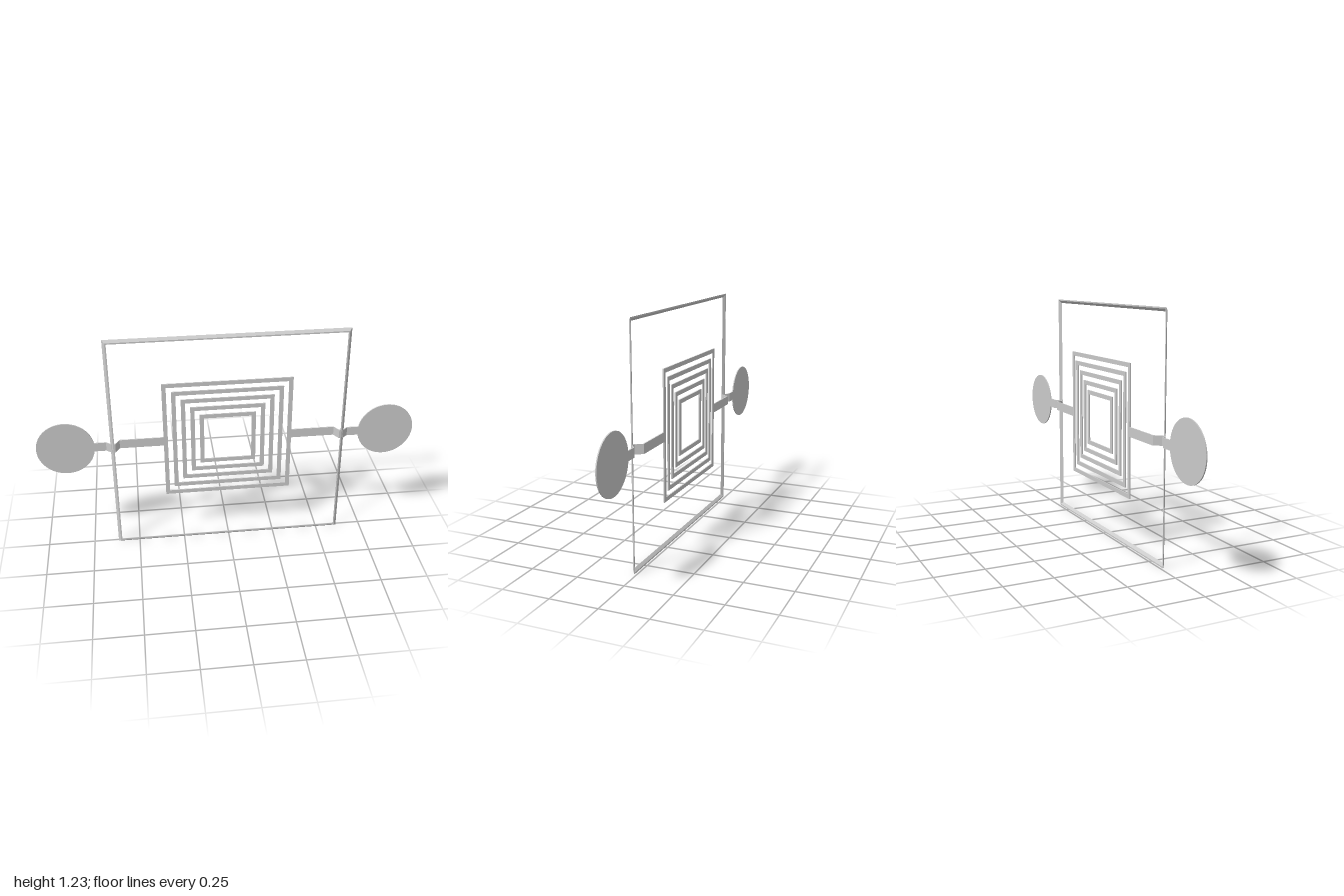
import * as THREE from 'three';

const MID = 0.6185; // height of the centre line
const material = new THREE.MeshStandardMaterial({ color: 0xcccccc, flatShading: true });

function extrude(shape, depth, z, curveSegments = 12) {
  const g = new THREE.ExtrudeGeometry(shape, { depth, bevelEnabled: false, curveSegments });
  return g.translate(0, 0, z);
}

function squarePoints(h) {
  return [[-h, -h], [h, -h], [h, h], [-h, h]].map(([x, y]) => new THREE.Vector2(x, y));
}

// Flat square ring with half-size h and bar width w
function squareRing(h, w, depth, z) {
  const shape = new THREE.Shape(squarePoints(h));
  shape.holes.push(new THREE.Path(squarePoints(h - w).reverse()));
  return extrude(shape, depth, z);
}

export function createModel() {
  const group = new THREE.Group();
  const add = (name, geometry) => {
    const mesh = new THREE.Mesh(geometry, material);
    mesh.name = name;
    mesh.position.y = MID;
    group.add(mesh);
    return mesh;
  };

  // Outer frame: thin strip whose front edge leans inwards
  const frame = squareRing(0.617, 0.007, 0.0125, 0.012);
  const p = frame.attributes.position;
  for (let i = 0; i < p.count; i++) {
    if (p.getZ(i) < 0.018) continue;
    p.setX(i, p.getX(i) - 0.013 * Math.sign(p.getX(i)));
    p.setY(i, p.getY(i) - 0.013 * Math.sign(p.getY(i)));
  }
  frame.computeVertexNormals();
  add('outerFrame', frame);

  // Five nested square rings
  for (let i = 0; i < 5; i++) {
    add('squareRing' + (i + 1), squareRing(0.34 - i * 0.048, 0.022, 0.006, -0.0245));
  }

  // Side discs and the bent straps that carry them
  const t = 0.006;
  const path = [[0.33, -0.0245], [0.57, -0.0245], [0.592, 0.013], [0.612, 0.013], [0.64, -0.01], [0.71, -0.01]];
  for (const [side, s] of [['left', 1], ['right', -1]]) {
    const disc = new THREE.Shape().absarc(s * 0.85, 0, 0.15, 0, Math.PI * 2);
    add(side + 'Disc', extrude(disc, t, -0.01, 32));

    // Strap profile drawn in x and z, extruded along y
    const lower = path.map(([x, z]) => new THREE.Vector2(s * x, -z));
    const upper = path.map(([x, z]) => new THREE.Vector2(s * x, -z - t)).reverse();
    const strap = extrude(new THREE.Shape([...lower, ...upper]), 0.049, -0.0245);
    add(side + 'Strap', strap.rotateX(-Math.PI / 2));
  }
  return group;
}
